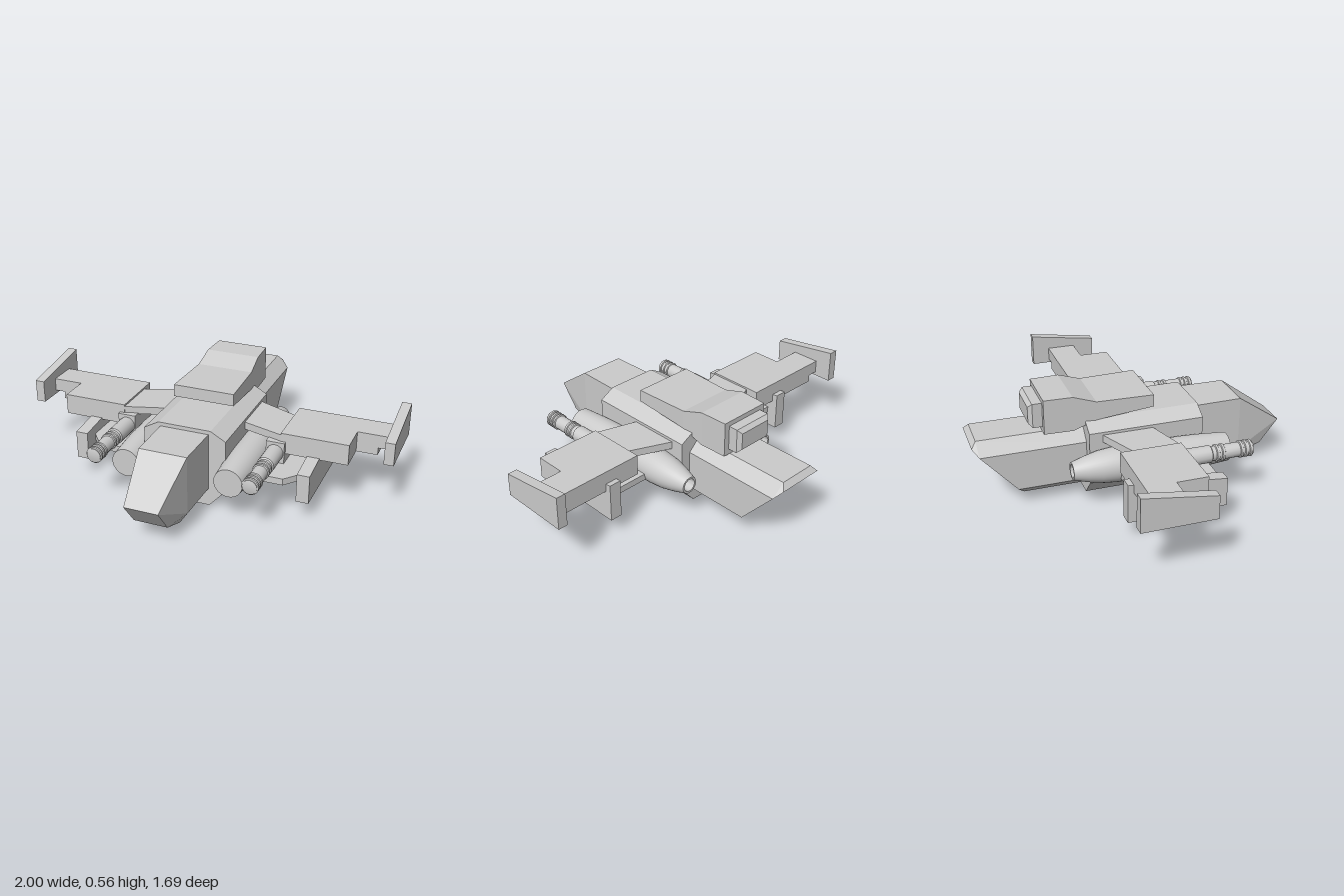
import * as THREE from 'three';
import { ConvexGeometry } from 'three/addons/geometries/ConvexGeometry.js';
import { toCreasedNormals } from 'three/addons/utils/BufferGeometryUtils.js';

const grey = new THREE.MeshStandardMaterial({ color: 0xcccccc });

export function createModel() {
  const model = new THREE.Group();

  const add = (name, geometry, parent = model) => {
    const mesh = new THREE.Mesh(geometry, grey);
    mesh.name = name;
    parent.add(mesh);
    return mesh;
  };

  // Convex faceted solid from corner points [x, y, z]
  const solid = (name, pts, parent) =>
    add(name, new ConvexGeometry(pts.map(p => new THREE.Vector3(...p))), parent);

  // Same, with the points mirrored across x = 0
  const symmetric = (name, pts, parent) =>
    solid(name, pts.flatMap(([x, y, z]) => [[x, y, z], [-x, y, z]]), parent);

  // Side profile [z, y] given thickness from x0 to x1
  const plate = (name, x0, x1, profile, parent) =>
    solid(name, profile.flatMap(([z, y]) => [[x0, y, z], [x1, y, z]]), parent);

  // Top outline [x, z] given thickness from y0 to y1
  const slab = (name, y0, y1, outline, parent) =>
    solid(name, outline.flatMap(([x, z]) => [[x, y0, z], [x, y1, z]]), parent);

  const box = (name, x0, x1, y0, y1, z0, z1, parent) => {
    const g = new THREE.BoxGeometry(x1 - x0, y1 - y0, z1 - z0);
    g.translate((x0 + x1) / 2, (y0 + y1) / 2, (z0 + z1) / 2);
    return add(name, g, parent);
  };

  // Turned part along z from a profile of [radius, z], rear to front
  const turned = (name, profile, sides, x, y, parent) => {
    const g = new THREE.LatheGeometry(profile.map(p => new THREE.Vector2(...p)), sides);
    g.rotateX(Math.PI / 2);
    g.translate(x, y, 0);
    return add(name, toCreasedNormals(g, 0.6), parent);
  };

  // Central hull with chamfered edges
  const hullSection = [[0.14, 0.42], [0.22, 0.375], [0.22, 0.095], [0.135, 0]];
  symmetric('hull', hullSection.flatMap(([x, y]) => [[x, y, 0.34], [x, y, -0.27]]));

  // Nose with its pointed, faceted front
  symmetric('nose', [
    [0.13, 0.4, 0.3], [0.13, 0.095, 0.3], [0.085, 0.035, 0.3],
    [0.125, 0.4, 0.595], [0.125, 0.095, 0.595], [0.085, 0.035, 0.595],
    [0.088, 0.222, 0.845], [0.088, 0.095, 0.745],
  ]);

  // Tail with a raked underside
  symmetric('tail', [
    [0.1, 0.37, -0.25], [0.165, 0.305, -0.25], [0.165, 0.095, -0.25], [0.125, 0.055, -0.25],
    [0.1, 0.37, -0.82], [0.165, 0.305, -0.815], [0.125, 0.34, -0.845],
    [0.165, 0.095, -0.63], [0.125, 0.055, -0.595],
  ]);

  // Dorsal housing: stations of z, half width, bottom, top
  const dorsal = new THREE.Group();
  dorsal.name = 'dorsalHousing';
  model.add(dorsal);
  const stations = [
    [0.09, 0.165, 0.45, 0.515], [-0.21, 0.152, 0.415, 0.515],
    [-0.33, 0.146, 0.37, 0.555], [-0.48, 0.14, 0.37, 0.555],
  ];
  const ring = ([z, w, low, high]) => [[w, low, z], [w, high, z]];
  for (let i = 0; i < stations.length - 1; i++) {
    symmetric('dorsalSection', [...ring(stations[i]), ...ring(stations[i + 1])], dorsal);
  }
  symmetric('rearExhaust', [
    [-0.47, 0.11, 0.4, 0.53], [-0.53, 0.11, 0.4, 0.53], [-0.55, 0.092, 0.42, 0.51],
  ].flatMap(ring), dorsal);

  for (const s of [1, -1]) {
    const side = new THREE.Group();
    side.name = s > 0 ? 'leftWingAssembly' : 'rightWingAssembly';
    model.add(side);

    // Upper wing: tapered root, broad panel and stepped arm
    slab('wingRoot', 0.32, 0.36, [[s * 0.15, -0.23], [s * 0.44, -0.105], [s * 0.44, 0.135], [s * 0.15, 0.045]], side);
    const span = (a, b) => (s > 0 ? [a, b] : [-b, -a]);
    box('wingPanel', ...span(0.435, 0.785), 0.26, 0.37, -0.18, 0.135, side);
    box('wingArm', ...span(0.78, 0.895), 0.26, 0.37, -0.18, -0.025, side);
    box('wingArmEnd', ...span(0.89, 0.955), 0.3, 0.37, -0.18, -0.025, side);
    plate('wingTipFin', s * 0.95, s, [[0.095, 0.28], [0.095, 0.4], [-0.275, 0.455], [-0.275, 0.28]], side);

    // Lower wing and its fin
    slab('lowerWing', 0.175, 0.21, [[s * 0.2, -0.15], [s * 0.58, -0.15], [s * 0.58, 0.21], [s * 0.505, 0.3], [s * 0.2, 0.3]], side);
    plate('lowerFin', s * 0.575, s * 0.64, [[0.3, 0.1], [0.3, 0.25], [-0.21, 0.305], [-0.21, 0.1]], side);

    // Engine pod, hollow at the rear
    turned('enginePod', [
      [0, -0.3], [0.034, -0.3], [0.034, -0.38], [0.045, -0.38], [0.066, -0.31], [0.082, -0.24],
      [0.09, -0.16], [0.09, 0.2], [0.086, 0.3], [0.075, 0.45], [0, 0.45],
    ], 32, s * 0.275, 0.215, side);

    // Gun with a boxed mount and ribbed barrel
    box('gunMount', ...span(0.365, 0.462), 0.212, 0.325, -0.1, 0.155, side);
    const barrel = [[0, 0.14], [0.045, 0.14], [0.045, 0.3], [0.038, 0.305]];
    for (const z of [0.325, 0.355, 0.455, 0.48, 0.505]) {
      barrel.push([0.038, z], [0.044, z + 0.003], [0.044, z + 0.015], [0.038, z + 0.018]);
    }
    barrel.push([0.038, 0.527], [0, 0.527]);
    turned('gunBarrel', barrel, 16, s * 0.413, 0.266, side);
  }

  return model;
}
